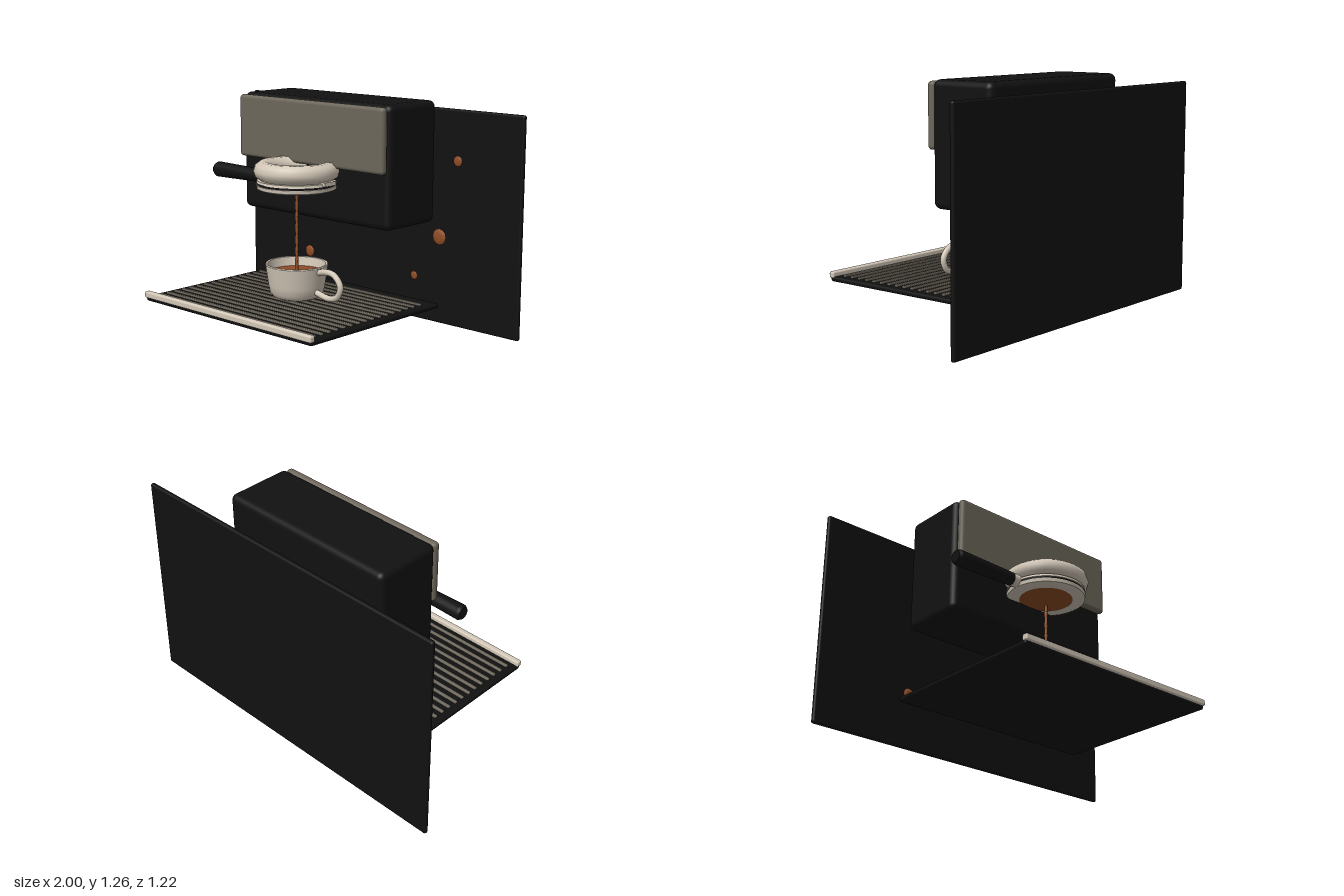
import * as THREE from 'three';
import { RoundedBoxGeometry } from 'three/addons/geometries/RoundedBoxGeometry.js';
import { toCreasedNormals } from 'three/addons/utils/BufferGeometryUtils.js';

const mat = (name, color, side = THREE.FrontSide) => {
  const m = new THREE.MeshStandardMaterial({ color, side });
  m.name = name;
  return m;
};

export function createModel() {
  const black = mat('black', 0x111111);
  const cream = mat('cream', 0xd3c8b8, THREE.DoubleSide);
  const taupe = mat('taupe', 0x6d675b);
  const coffee = mat('coffee', 0x8f4d25, THREE.DoubleSide);
  const root = new THREE.Group();
  root.name = 'espressoMachine';
  const axisZ = 0.06; // the cup, stream and brew head share this axis

  const add = (name, geometry, material, x = 0, y = 0, z = 0, parent = root) => {
    const mesh = new THREE.Mesh(geometry, material);
    mesh.name = name;
    mesh.position.set(x, y, z);
    parent.add(mesh);
    return mesh;
  };
  // Rounded box given by its limits on each axis
  const block = (name, [x0, x1], [y0, y1], [z0, z1], r, material) =>
    add(name, new RoundedBoxGeometry(x1 - x0, y1 - y0, z1 - z0, 3, r), material,
      (x0 + x1) / 2, (y0 + y1) / 2, (z0 + z1) / 2);
  const lathe = (points, segments = 40) => toCreasedNormals(
    new THREE.LatheGeometry(points.map(([r, y]) => new THREE.Vector2(r, y)), segments), 0.6);

  // Wall, machine housing and front panel
  block('backWall', [-1, 1], [0, 1.2], [-0.61, -0.583], 0.012, black);
  block('housing', [-0.54, 0.54], [0.602, 1.257], [-0.45, -0.063], 0.035, black);
  block('frontPanel', [-0.53, 0.53], [0.9, 1.247], [-0.066, -0.02], 0.02, taupe);

  // Drip tray with slats and front lip
  block('dripTray', [-0.625, 0.625], [0.152, 0.179], [-0.387, 0.6], 0.012, black);
  block('trayLip', [-0.628, 0.628], [0.17, 0.206], [0.575, 0.61], 0.01, cream);
  for (let i = 0; i < 16; i++) {
    const z = 0.535 - i * 0.0544;
    block('traySlat', [-0.587, 0.587], [0.174, 0.19], [z - 0.01, z + 0.01], 0.005, taupe);
  }

  // Brew head: fat upper ring, groove and lower ring
  const head = new THREE.Group();
  head.name = 'brewHead';
  head.position.z = axisZ;
  root.add(head);
  const upper = new THREE.TorusGeometry(0.18, 0.052, 10, 40);
  upper.rotateX(Math.PI / 2);
  add('upperRing', upper, cream, 0, 0.882, 0, head);
  add('lowerRing', lathe([[0.145, 0.782], [0.195, 0.779], [0.213, 0.787], [0.216, 0.806],
    [0.206, 0.808], [0.206, 0.816], [0.216, 0.818], [0.213, 0.832], [0.145, 0.834],
    [0.145, 0.782]]), cream, 0, 0, 0, head);
  const groove = new THREE.TorusGeometry(0.206, 0.008, 6, 40);
  groove.rotateX(Math.PI / 2);
  add('grooveSeal', groove, black, 0, 0.812, 0, head);
  const liner = lathe([[0.143, 0.785], [0.143, 0.845]]);
  liner.scale(-1, 1, 1); // faces inward
  const index = liner.attributes.position.count;
  add('basketLiner', liner, black, 0, 0, 0, head).userData.corners = index;
  add('coffeePuck', lathe([[0.005, 0.745], [0.06, 0.757], [0.11, 0.775], [0.15, 0.784]], 24),
    coffee, 0, 0, 0, head);
  for (const s of [-1, 1])
    add('lug', new THREE.BoxGeometry(0.03, 0.022, 0.085), cream, s * 0.215, 0.831, -0.017, head);

  // Side handle with its collar
  const rod = (name, x0, x1, r0, r1, material) => {
    const g = new THREE.CylinderGeometry(r1, r0, x1 - x0, 20);
    g.rotateZ(-Math.PI / 2);
    add(name, toCreasedNormals(g, 0.6), material, (x0 + x1) / 2, 0.822, 0, head);
  };
  rod('handleCollar', -0.258, -0.2, 0.035, 0.035, cream);
  rod('handleGrip', -0.615, -0.25, 0.043, 0.036, black);
  rod('handleTip', -0.63, -0.615, 0.034, 0.043, black);

  // Poured coffee with small ripples
  const pour = [];
  for (let i = 0; i <= 24; i++)
    pour.push([0.009 + 0.0015 * Math.sin(i * 1.9), 0.3 + i * 0.019]);
  add('coffeeStream', lathe(pour, 12), coffee, 0, 0, axisZ);

  // Cup: outside wall, rim, inside wall
  const cup = new THREE.Group();
  cup.name = 'cup';
  cup.position.z = axisZ;
  root.add(cup);
  add('cupBody', lathe([[0, 0.187], [0.105, 0.187], [0.13, 0.198], [0.146, 0.22], [0.154, 0.26],
    [0.17, 0.37], [0.167, 0.376], [0.157, 0.374], [0.142, 0.27], [0.125, 0.215], [0, 0.205]]),
    cream, 0, 0, 0, cup);
  const surface = new THREE.CircleGeometry(0.149, 36);
  surface.rotateX(-Math.PI / 2);
  add('cupCoffee', surface, coffee, 0, 0.325, 0, cup);
  const path = new THREE.CatmullRomCurve3([[0.155, 0.345], [0.21, 0.358], [0.275, 0.35],
    [0.319, 0.295], [0.295, 0.235], [0.235, 0.218], [0.142, 0.236]]
    .map(([x, y]) => new THREE.Vector3(x, y, 0)));
  add('cupHandle', new THREE.TubeGeometry(path, 36, 0.017, 10), cream, 0, 0, 0, cup);

  // Flattened coffee drops in front of the wall
  for (const [x, y, r] of [[0.627, 0.932, 0.03], [0.513, 0.505, 0.046],
    [-0.46, 0.277, 0.036], [0.342, 0.262, 0.025]]) {
    const drop = add('coffeeDrop', new THREE.IcosahedronGeometry(r, 1), coffee, x, y, -0.524);
    drop.scale.z = 0.28;
  }
  return root;
}
